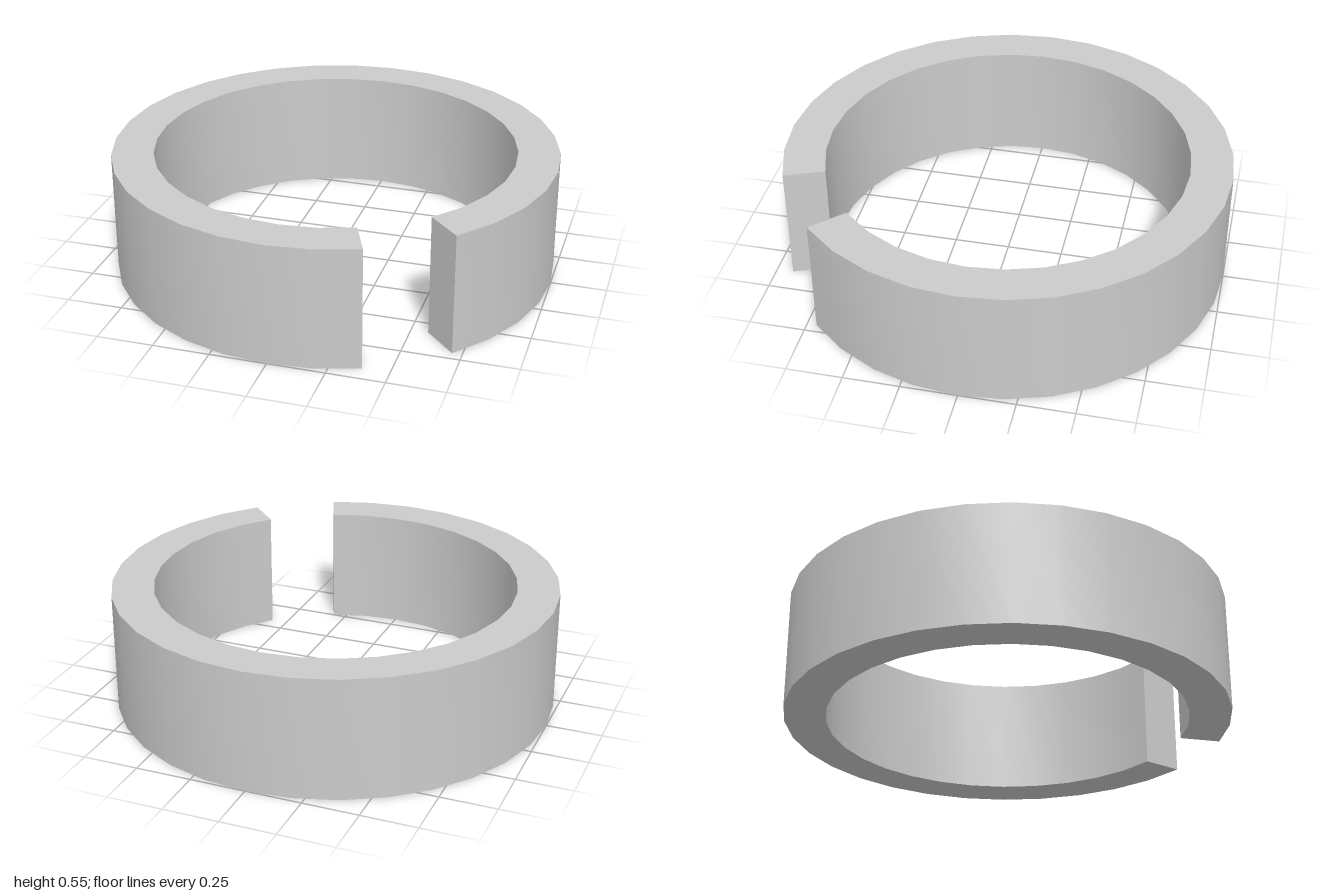
import * as THREE from 'three';
import { mergeGeometries, toCreasedNormals } from 'three/addons/utils/BufferGeometryUtils.js';

const OUTER = 1, INNER = 0.813, HEIGHT = 0.545;
const STEP = Math.PI / 16; // 32-sided circle
const START = 4 * STEP, SEGMENTS = 30; // two sides are left out as the gap

// Flat face closing the ring at a given angle
function endFace(angle, turn) {
  const mid = (OUTER + INNER) / 2;
  return new THREE.PlaneGeometry(OUTER - INNER, HEIGHT)
    .rotateY(angle + turn)
    .translate(mid * Math.sin(angle), HEIGHT / 2, mid * Math.cos(angle));
}

export function createModel() {
  const group = new THREE.Group();
  group.name = 'splitRing';

  // Rectangular section swept around the y axis
  const section = [[INNER, 0], [OUTER, 0], [OUTER, HEIGHT], [INNER, HEIGHT], [INNER, 0]]
    .map(([x, y]) => new THREE.Vector2(x, y));
  const sweep = SEGMENTS * STEP;
  const band = new THREE.LatheGeometry(section, SEGMENTS, START, sweep);

  const geometry = toCreasedNormals(mergeGeometries([
    band,
    endFace(START, -Math.PI / 2),
    endFace(START + sweep, Math.PI / 2),
  ]), Math.PI / 6);

  const ring = new THREE.Mesh(geometry, new THREE.MeshStandardMaterial({ color: 0xcccccc }));
  ring.name = 'ringBand';
  group.add(ring);
  return group;
}
